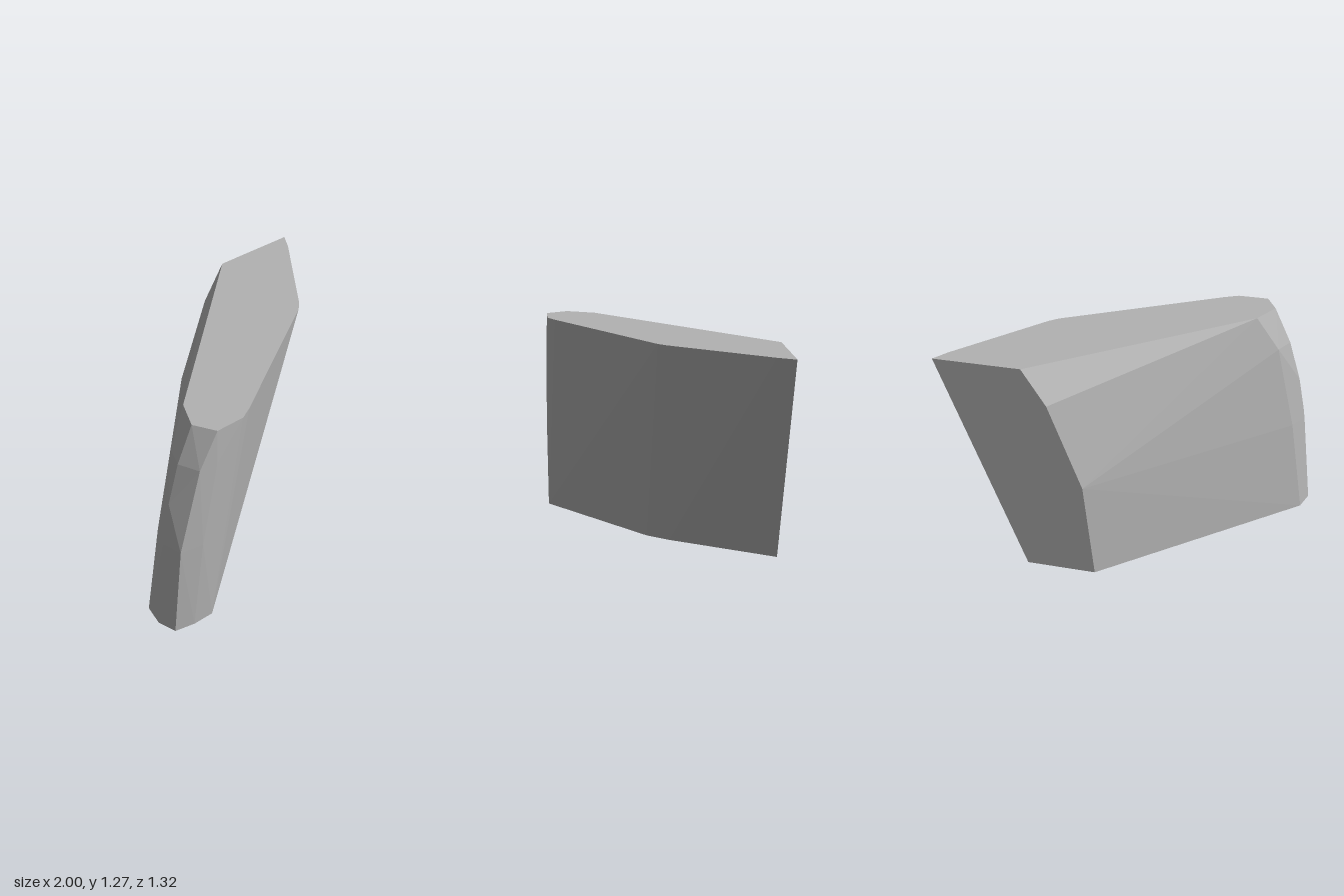
import * as THREE from 'three';
import { ConvexGeometry } from 'three/addons/geometries/ConvexGeometry.js';

// Each level: height, then [x, z] corners of the slab at that height
const LEVELS = [
  [0, [0.48, -0.66], [0.07, -0.66], [-0.97, 0.39], [-1, 0.52], [-0.97, 0.635],
    [-0.85, 0.66], [-0.72, 0.66], [0.01, 0.07], [0.11, -0.06]],
  // curved back wall and rounded end
  [0.56, [0.136, -0.66], [-0.89, 0.4], [-0.945, 0.52], [-0.92, 0.64], [-0.78, 0.663]],
  [0.82, [0.24, -0.66], [-0.9, 0.52]],
  [1.06, [0.336, -0.66], [-0.78, 0.4], [-0.83, 0.52], [-0.78, 0.645], [-0.67, 0.657]],
  [1.273, [1, -0.66], [0.48, -0.66], [-0.65, 0.35], [-0.73, 0.52], [-0.66, 0.65],
    [-0.48, 0.648], [-0.4, 0.605], [0.48, 0.04], [0.53, -0.01], [0.94, -0.56]],
];

export function createModel() {
  const group = new THREE.Group();
  group.name = 'leaningBlock';
  const grey = new THREE.MeshStandardMaterial({ color: 0xb2b2b2 });
  grey.name = 'grey';

  // Faceted leaning slab spanned between the levels
  const points = LEVELS.flatMap(([y, ...corners]) =>
    corners.map(([x, z]) => new THREE.Vector3(x, y, z)));
  const slab = new THREE.Mesh(new ConvexGeometry(points), grey);
  slab.name = 'slab';
  group.add(slab);
  return group;
}
